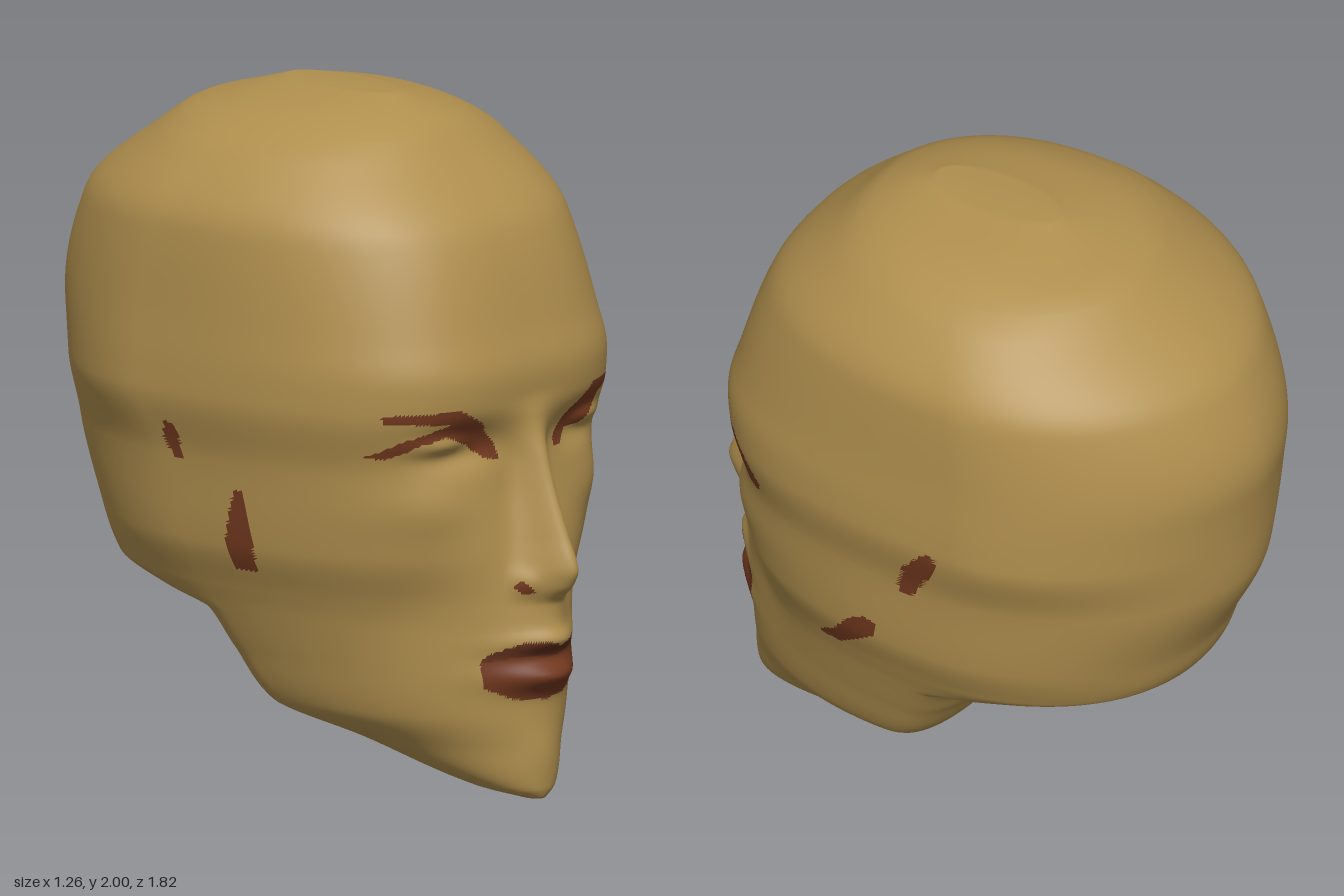
import * as THREE from 'three';

// Head sections: height, front z, z of widest point, back z, half width, front and back roundness
const sections = [
  [0.00, 0.78, 0.74, 0.70, 0.03, 2.0, 2.0],
  [0.03, 0.79, 0.66, 0.55, 0.11, 2.0, 2.2],
  [0.16, 0.79, 0.36, 0.24, 0.275, 1.9, 2.6],
  [0.25, 0.79, 0.14, -0.01, 0.39, 1.9, 3.0],
  [0.40, 0.79, 0.06, -0.12, 0.45, 1.92, 3.0],
  [0.51, 0.785, 0.00, -0.20, 0.49, 1.97, 2.8],
  [0.55, 0.78, -0.03, -0.50, 0.505, 2.02, 2.3],
  [0.60, 0.772, -0.06, -0.70, 0.525, 2.1, 2.1],
  [0.73, 0.755, -0.10, -0.755, 0.57, 2.35, 2.0],
  [0.98, 0.72, -0.16, -0.865, 0.592, 2.8, 1.85],
  [1.17, 0.75, -0.24, -0.885, 0.63, 3.0, 1.8],
  [1.25, 0.757, -0.24, -0.895, 0.628, 3.0, 1.8],
  [1.37, 0.73, -0.24, -0.91, 0.62, 2.9, 1.8],
  [1.65, 0.645, -0.20, -0.82, 0.60, 2.5, 1.85],
  [1.86, 0.45, -0.12, -0.56, 0.46, 2.3, 1.9],
  [1.92, 0.385, -0.08, -0.47, 0.36, 2.2, 2.0],
  [1.96, 0.31, -0.05, -0.335, 0.26, 2.1, 2.0],
  [2.00, 0.20, 0.00, -0.20, 0.08, 2.0, 2.0],
];

// Nose and the strip down to the mouth: height, projection, spread
const nose = [
  [0, 0, 0.1], [0.43, 0, 0.1], [0.5, 0.045, 0.1], [0.58, 0.06, 0.09], [0.64, 0.125, 0.075], [0.69, 0.152, 0.07],
  [0.78, 0.13, 0.06], [1.0, 0.075, 0.05], [1.12, 0.02, 0.07], [1.2, 0, 0.09], [2, 0, 0.09],
];

// Monotone cubic interpolation of table column k at height y
function sample(table, k, y) {
  let i = 0;
  while (i < table.length - 2 && y > table[i + 1][0]) i++;
  const slope = (j) => (table[j + 1][k] - table[j][k]) / (table[j + 1][0] - table[j][0]);
  const tangent = (j) => {
    if (j === 0) return slope(0);
    if (j === table.length - 1) return slope(j - 1);
    const a = slope(j - 1), b = slope(j);
    return a * b <= 0 ? 0 : (2 * a * b) / (a + b);
  };
  const h = table[i + 1][0] - table[i][0], t = (y - table[i][0]) / h;
  const t2 = t * t, t3 = t2 * t;
  return (2 * t3 - 3 * t2 + 1) * table[i][k] + (t3 - 2 * t2 + t) * h * tangent(i)
    + (3 * t2 - 2 * t3) * table[i + 1][k] + (t3 - t2) * h * tangent(i + 1);
}

const bump = (x, y, cx, cy, sx, sy) => Math.exp(-(((x - cx) / sx) ** 2) - ((y - cy) / sy) ** 2);

// Relief of the face along z
function relief(x, y) {
  const ax = Math.abs(x);
  return sample(nose, 1, y) * Math.exp(-((x / sample(nose, 2, y)) ** 2))
    + 0.02 * bump(ax, y, 0.09, 0.65, 0.03, 0.035)    // nostril wings
    - 0.05 * bump(ax, y, 0.25, 1.06, 0.13, 0.06)     // eye sockets
    + 0.035 * bump(ax, y, 0.3, 1.065, 0.09, 0.03)    // eyelids
    + 0.02 * bump(ax, y, 0.36, 0.88, 0.14, 0.08)     // cheekbones
    - 0.025 * bump(ax, y, 0.32, 0.55, 0.1, 0.17)     // cheek hollows
    + 0.045 * bump(x, y, 0, 0.465, 0.13, 0.035)      // upper lip
    + 0.06 * bump(x, y, 0, 0.37, 0.14, 0.042)        // lower lip
    + 0.01 * bump(x, y, 0, 0.12, 0.1, 0.09);         // chin
}

// Painted outlines; the face ones are in x, y and the side ones in z, y
const leftEye = [[0.12, 1.01], [0.16, 1.01], [0.2, 1.05], [0.27, 1.05], [0.31, 1.08], [0.33, 1.1], [0.34, 1.13],
  [0.39, 1.15], [0.43, 1.13], [0.445, 1.09], [0.42, 1.06], [0.4, 1.045], [0.45, 1.025], [0.49, 1.03], [0.51, 1.07],
  [0.49, 1.13], [0.45, 1.175], [0.28, 1.175], [0.24, 1.14], [0.17, 1.09], [0.12, 1.04]];
const rightEye = [[-0.11, 1.005], [-0.16, 1.015], [-0.22, 1.06], [-0.3, 1.095], [-0.38, 1.075], [-0.44, 1.035],
  [-0.485, 1.04], [-0.42, 1.09], [-0.35, 1.115], [-0.3, 1.135], [-0.38, 1.14], [-0.47, 1.145], [-0.475, 1.17],
  [-0.28, 1.175], [-0.2, 1.13], [-0.13, 1.06]];
const upperLip = [[-0.195, 0.42], [-0.18, 0.44], [-0.1, 0.475], [-0.04, 0.475], [0, 0.462], [0.04, 0.475],
  [0.1, 0.475], [0.18, 0.44], [0.195, 0.42], [0.1, 0.43], [0, 0.425], [-0.1, 0.43]];
const lowerLip = [[-0.195, 0.42], [-0.1, 0.43], [0, 0.425], [0.1, 0.43], [0.195, 0.42], [0.185, 0.34],
  [0.11, 0.305], [0, 0.295], [-0.11, 0.305], [-0.185, 0.34]];
const nostril = [[0.07, 0.62], [0.1, 0.615], [0.12, 0.64], [0.1, 0.655]];
const leftMarks = [
  [[-0.04, 0.95], [-0.08, 0.95], [-0.13, 1.02], [-0.185, 1.12], [-0.18, 1.165], [-0.14, 1.15], [-0.07, 1.07], [-0.04, 0.99]],
  [[0.29, 0.6], [0.21, 0.61], [0.13, 0.68], [0.06, 0.735], [0.055, 0.785], [0.1, 0.79], [0.16, 0.75], [0.22, 0.67], [0.285, 0.62]],
];
const rightMarks = [
  [[-0.08, 0.97], [-0.12, 0.97], [-0.15, 1.02], [-0.14, 1.08], [-0.1, 1.07]],
  [[0.16, 0.66], [0.08, 0.66], [0.06, 0.75], [0.1, 0.9], [0.13, 0.9], [0.155, 0.78]],
];

function inside(poly, u, v) {
  let hit = false;
  poly.forEach(([x1, y1], i) => {
    const [x2, y2] = poly[(i + 1) % poly.length];
    if ((y1 > v) !== (y2 > v) && u < ((x2 - x1) * (v - y1)) / (y2 - y1) + x1) hit = !hit;
  });
  return hit;
}

// Material slot of a face centred at x, y, z
function slotAt(x, y, z) {
  if (y < 0.25 || y > 1.2) return 0;
  if (z > 0.35) {
    if (inside(upperLip, x, y)) return 2;
    const face = [leftEye, rightEye, lowerLip].some((p) => inside(p, x, y));
    return face || inside(nostril, Math.abs(x), y) ? 1 : 0;
  }
  return Math.abs(x) > 0.3 && (x > 0 ? leftMarks : rightMarks).some((p) => inside(p, z, y)) ? 1 : 0;
}

function headGeometry() {
  const columns = 320, heights = [0];
  // Finer rows where the form turns quickly
  for (const [end, step] of [[0.5, 0.01], [0.6, 0.005], [1.2, 0.008], [1.9, 0.025], [2, 0.005]]) {
    const start = heights[heights.length - 1], n = Math.round((end - start) / step);
    for (let i = 1; i <= n; i++) heights.push(start + ((end - start) * i) / n);
  }
  const points = [];
  for (const y of heights) {
    const [front, mid, back, width, nf, nb] = [1, 2, 3, 4, 5, 6].map((k) => sample(sections, k, y));
    for (let i = 0; i < columns; i++) {
      const u = (2 * i) / columns - 1;
      const a = Math.PI * (0.6 * u + 0.4 * u ** 3); // closer columns on the face
      const s = Math.sin(a), c = Math.cos(a), n = c > 0 ? nf : nb;
      const r = (Math.abs(s) ** n + Math.abs(c) ** n) ** (-1 / n);
      const x = width * r * s;
      const z = mid + (c > 0 ? front - mid : mid - back) * r * c;
      points.push(x, y, z + (c > 0 ? relief(x, y) * Math.min(1, c * 3) : 0));
    }
  }
  const slots = [[], [], []];
  const addFace = (...f) => {
    const [x, y, z] = [0, 1, 2].map((k) => f.reduce((sum, v) => sum + points[v * 3 + k], 0) / 3);
    slots[slotAt(x, y, z)].push(...f);
  };
  for (let j = 0; j < heights.length - 1; j++) {
    for (let i = 0; i < columns; i++) {
      const i2 = (i + 1) % columns, a = j * columns + i, b = j * columns + i2;
      addFace(a, b, b + columns);
      addFace(a, b + columns, a + columns);
    }
  }
  // Close the chin and the crown
  const top = (heights.length - 1) * columns, chin = points.length / 3, crown = chin + 1;
  points.push(0, 0, 0.74, 0, 2, 0);
  for (let i = 0; i < columns; i++) {
    const i2 = (i + 1) % columns;
    addFace(chin, i2, i);
    addFace(crown, top + i, top + i2);
  }
  const geometry = new THREE.BufferGeometry();
  geometry.setAttribute('position', new THREE.Float32BufferAttribute(points, 3));
  geometry.setIndex(slots.flat());
  let start = 0;
  slots.forEach((list, k) => {
    geometry.addGroup(start, list.length, k);
    start += list.length;
  });
  geometry.computeVertexNormals();
  return geometry;
}

export function createModel() {
  const material = (name, color) => Object.assign(new THREE.MeshStandardMaterial({ color }), { name });
  const head = new THREE.Mesh(headGeometry(), [
    material('ochre skin', 0xb08f4e),
    material('brick paint', 0x73391f),
    material('dark lip', 0x5f2f1c),
  ]);
  head.name = 'head';
  const model = new THREE.Group();
  model.name = 'mannequinHead';
  model.add(head);
  return model;
}
